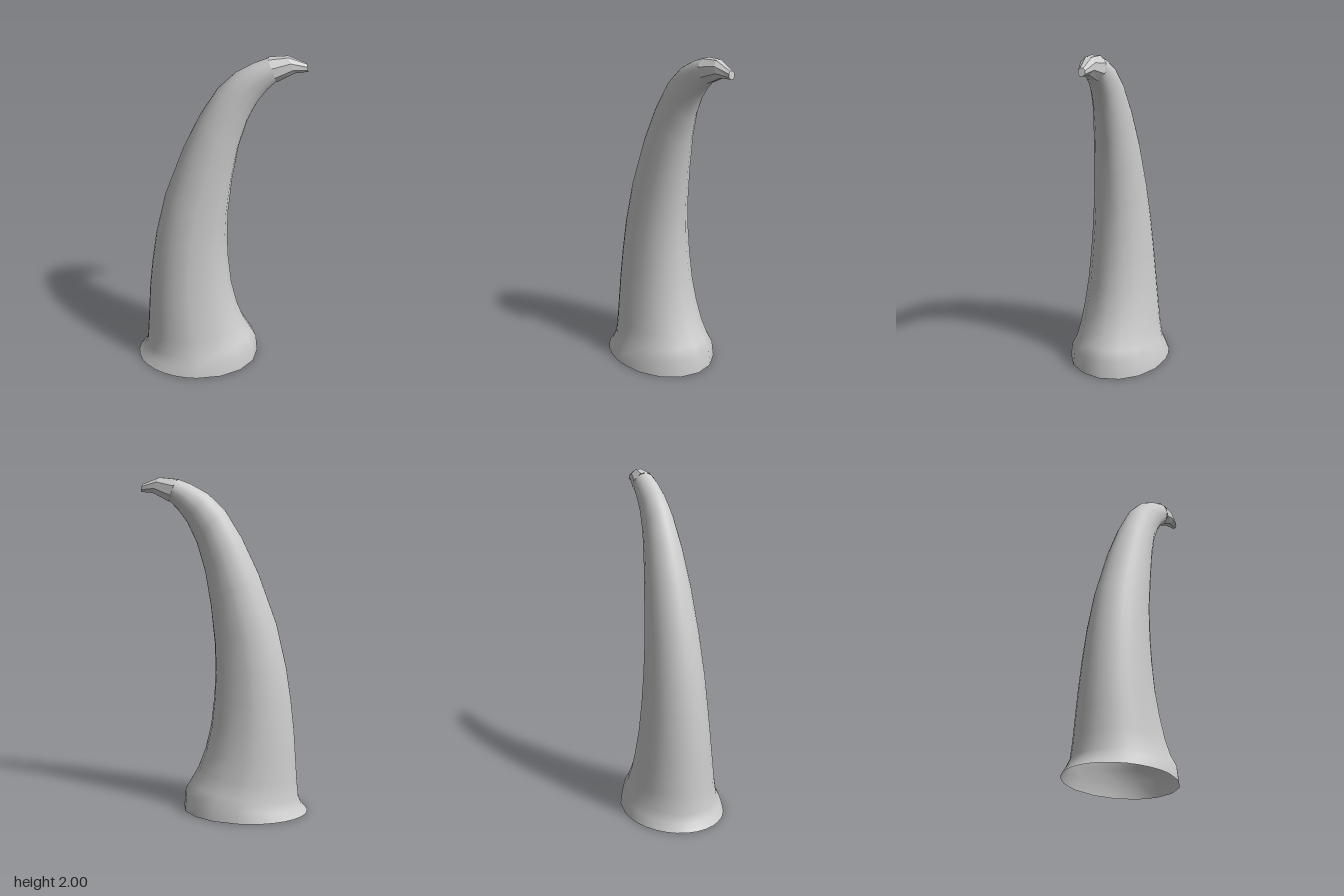
import * as THREE from 'three';

// Each section: [outer x, outer y, inner x, inner y, half width in z]
const bodySections = [
  [-0.505, 0, 0.255, 0, 0.305],
  [-0.47, 0.04, 0.245, 0.11, 0.29],
  [-0.45, 0.09, 0.21, 0.17, 0.262],
  [-0.44, 0.2, 0.165, 0.25, 0.243],
  [-0.43, 0.35, 0.12, 0.37, 0.225],
  [-0.42, 0.5, 0.085, 0.52, 0.207],
  [-0.4, 0.68, 0.065, 0.7, 0.19],
  [-0.37, 0.88, 0.058, 0.85, 0.175],
  [-0.31, 1.14, 0.062, 1.02, 0.156],
  [-0.2, 1.44, 0.085, 1.24, 0.135],
  [-0.1, 1.65, 0.12, 1.45, 0.113],
  [0, 1.81, 0.17, 1.62, 0.092],
  [0.1, 1.905, 0.225, 1.735, 0.079],
  [0.2, 1.96, 0.28, 1.81, 0.071],
  [0.28, 1.99, 0.33, 1.86, 0.065],
];
const tipSections = [
  bodySections[bodySections.length - 1],
  [0.39, 2.0, 0.43, 1.91, 0.042],
  [0.495, 1.96, 0.503, 1.915, 0.02],
];

// Skins elliptical rings through the sections, optionally closing the end
function loft(sections, angles, scale, capEnd) {
  const n = angles.length, positions = [], index = [];
  for (const [lx, ly, rx, ry, w] of sections) {
    const cx = (lx + rx) / 2, cy = (ly + ry) / 2;
    for (const a of angles) {
      const c = Math.cos(a) * scale, s = Math.sin(a) * scale;
      positions.push(cx + (rx - cx) * c, cy + (ry - cy) * c, w * s);
    }
  }
  for (let i = 0; i < sections.length - 1; i++) {
    for (let j = 0; j < n; j++) {
      const a = i * n + j, b = i * n + (j + 1) % n;
      index.push(a, a + n, b, b, a + n, b + n);
    }
  }
  if (capEnd) {
    const first = (sections.length - 1) * n;
    for (let j = 1; j < n - 1; j++) index.push(first, first + j + 1, first + j);
  }
  const geometry = new THREE.BufferGeometry();
  geometry.setAttribute('position', new THREE.Float32BufferAttribute(positions, 3));
  geometry.setIndex(index);
  geometry.computeVertexNormals();
  return geometry;
}

export function createModel() {
  const group = new THREE.Group();
  group.name = 'horn';

  // Smooth hollow body: coarse steps on the inner curve, finer on the outer
  const bodyAngles = [];
  for (let k = 0; k < 32; k++) {
    const innerSide = k < 8 || k > 24;
    if (!innerSide || k % 2 === 0) bodyAngles.push((k / 32) * Math.PI * 2);
  }
  const body = new THREE.Mesh(
    loft(bodySections, bodyAngles, 1, false),
    new THREE.MeshStandardMaterial({ color: 0xcccccc, side: THREE.DoubleSide }),
  );
  body.name = 'hornBody';
  group.add(body);

  // Faceted, blunt tip with eight sides
  const tipAngles = Array.from({ length: 8 }, (_, k) => ((k + 0.5) / 8) * Math.PI * 2);
  const tip = new THREE.Mesh(
    loft(tipSections, tipAngles, 1 / Math.cos(Math.PI / 8), true),
    new THREE.MeshStandardMaterial({ color: 0xcccccc, flatShading: true, side: THREE.DoubleSide }),
  );
  tip.name = 'hornTip';
  group.add(tip);

  return group;
}
